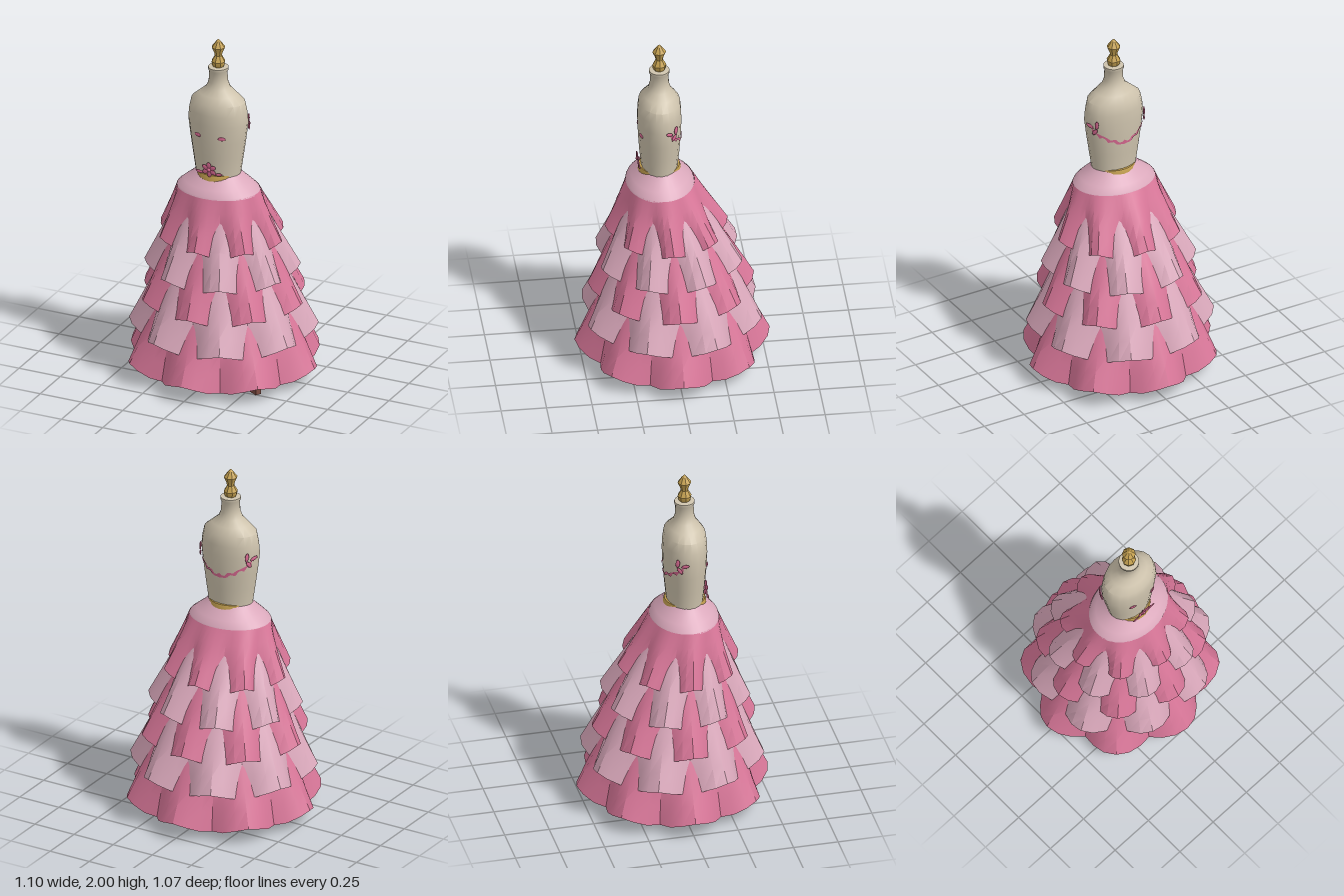
import * as THREE from 'three';
import { toCreasedNormals } from 'three/addons/utils/BufferGeometryUtils.js';

const mat = (name, color, side = THREE.FrontSide) => {
  const m = new THREE.MeshStandardMaterial({ color, side });
  m.name = name;
  return m;
};

// Surface from closed rings, listed bottom to top; point(row, angle) gives [x, y, z], angle 0 faces +z
function loft(rows, segs, point, crease = 0.5) {
  const pos = [], idx = [];
  for (let j = 0; j < rows; j++)
    for (let i = 0; i < segs; i++) pos.push(...point(j, (i / segs) * Math.PI * 2));
  for (let j = 0; j < rows - 1; j++)
    for (let i = 0; i < segs; i++) {
      const n = (i + 1) % segs;
      const a = j * segs + i, b = j * segs + n, c = b + segs, d = a + segs;
      idx.push(a, b, c, a, c, d);
    }
  const g = new THREE.BufferGeometry();
  g.setAttribute('position', new THREE.Float32BufferAttribute(pos, 3));
  g.setIndex(idx);
  return toCreasedNormals(g, crease);
}

// Elliptical loft from [y, rx, rz] sections
const ellipses = (sections, segs, zc, crease) =>
  loft(sections.length, segs, (j, a) => {
    const [y, rx, rz] = sections[j];
    return [rx * Math.sin(a), y, zc + rz * Math.cos(a)];
  }, crease);

const TORSO_Z = 0.07;
const TORSO = [
  [1.17, 0.127, 0.099], [1.22, 0.13, 0.1], [1.32, 0.145, 0.11], [1.42, 0.16, 0.117], [1.52, 0.173, 0.121],
  [1.58, 0.167, 0.12], [1.64, 0.154, 0.113], [1.68, 0.108, 0.087], [1.715, 0.068, 0.063],
  [1.75, 0.054, 0.053], [1.81, 0.05, 0.05], [1.82, 0.056, 0.056], [1.835, 0.056, 0.056], [1.84, 0.001, 0.001],
];

// Point on the torso at a height and angle, pushed out a little
function onTorso(y, a, out) {
  const k = Math.max(1, TORSO.findIndex((s) => s[0] >= y));
  const [p, q] = [TORSO[k - 1], TORSO[k]], t = (y - p[0]) / (q[0] - p[0]);
  const rx = p[1] + (q[1] - p[1]) * t + out, rz = p[2] + (q[2] - p[2]) * t + out;
  return new THREE.Vector3(rx * Math.sin(a), y, TORSO_Z + rz * Math.cos(a));
}

// The skirt leans forward and flattens towards the waist
const rise = (y) => Math.max(0, (y - 0.15) / 0.97);
const skirtZ = (y) => 0.065 * rise(y) ** 2;
const skirtRatio = (y) => 0.975 - 0.185 * rise(y) ** 4;

// Ruffled tier with eight folds
function tierGeometry({ peakY, r, topY, topR, shift }) {
  const rows = 5;
  return loft(rows, 48, (j, a) => {
    const t = j / (rows - 1);
    const w = Math.max(0, 0.5 + 0.5 * Math.cos(8 * (a - shift))) ** 0.6;
    const hemY = peakY - 0.05 * (1 - w * w);
    const y = hemY + (topY - hemY) * t;
    const rad = r + (topR - r) * t - 0.09 * (1 - w) * (1 - t) ** 1.2;
    return [rad * Math.sin(a), y, skirtZ(y) + rad * skirtRatio(y) * Math.cos(a)];
  });
}

export function createModel() {
  const model = new THREE.Group();
  model.name = 'dressForm';
  const linen = mat('linen', 0xcfc4ae);
  const rose = mat('rose', 0xd97799, THREE.DoubleSide);
  const blush = mat('blush', 0xdba9bc, THREE.DoubleSide);
  const gold = mat('gold', 0xc4a050);
  const wood = mat('wood', 0x7c4a40);
  const flowerPink = mat('flowerPink', 0xd5688f, THREE.DoubleSide);

  const add = (name, geo, material, parent = model) => {
    const m = new THREE.Mesh(geo, material);
    m.name = name;
    parent.add(m);
    return m;
  };

  // Body and finial
  add('torso', ellipses(TORSO, 20, TORSO_Z, 0.7), linen);
  const finial = [[0.03, 1.838], [0.036, 1.85], [0.039, 1.868], [0.02, 1.902], [0.024, 1.92], [0.038, 1.952], [0.014, 1.985], [0, 2]]
    .map(([x, y]) => new THREE.Vector2(x, y));
  add('finial', toCreasedNormals(new THREE.LatheGeometry(finial, 8), 0.6), gold).position.z = TORSO_Z;

  // Belt, showing only at the front and back
  add('belt', ellipses([[1.17, 0.12, 0.119], [1.205, 0.119, 0.118], [1.225, 0.119, 0.111], [1.228, 0.1, 0.09]], 24, TORSO_Z), gold);

  // Skirt yoke, lining and tiers
  add('yoke', ellipses([[1.115, 0.238, 0.188], [1.125, 0.232, 0.184], [1.155, 0.196, 0.158], [1.19, 0.152, 0.124], [1.218, 0.127, 0.1]], 32, 0.067), blush);
  const lining = [[0.12, 0.385], [0.55, 0.3], [0.8, 0.25], [1.11, 0.215]];
  add('lining', loft(4, 32, (j, a) => {
    const [y, r] = lining[j];
    return [r * Math.sin(a), y, skirtZ(y) + r * skirtRatio(y) * Math.cos(a)];
  }), blush);
  const tiers = [[0.84, 0.365, 1.12, 0.236], [0.65, 0.43, 1.03, 0.235], [0.47, 0.47, 0.85, 0.28], [0.29, 0.52, 0.67, 0.325], [0.1, 0.55, 0.48, 0.36]];
  tiers.forEach(([peakY, r, topY, topR], i) => {
    const shift = i % 2 ? Math.PI / 8 : 0;
    add(`skirtTier${i + 1}`, tierGeometry({ peakY, r, topY, topR, shift }), i % 2 ? blush : rose);
  });

  // Stand: pole and three legs
  const stand = new THREE.Group();
  stand.name = 'stand';
  stand.position.z = TORSO_Z;
  model.add(stand);
  add('pole', new THREE.CylinderGeometry(0.018, 0.02, 1.2, 8).translate(0, 0.6, 0), wood, stand);
  for (let i = 0; i < 3; i++) {
    const leg = add('leg', new THREE.BoxGeometry(0.036, 0.035, 0.39).translate(0, 0.031, 0.195), wood, stand);
    leg.rotation.y = Math.PI + (i * Math.PI * 2) / 3;
  }

  // Flowers and leaves
  const petalGeo = new THREE.SphereGeometry(1, 8, 6);
  const petal = (name, parent, x, y, angle, length, width) => {
    const p = add(name, petalGeo, flowerPink, parent);
    p.scale.set(length, width, 0.005);
    p.position.set(x, y, 0);
    p.rotation.z = angle;
  };
  const spray = (name, pos, turn, tilt = 0) => {
    const g = new THREE.Group();
    g.name = name;
    g.position.copy(pos);
    g.rotation.set(tilt, turn, 0, 'YXZ');
    model.add(g);
    return g;
  };
  const waist = spray('waistFlower', onTorso(1.262, 0, 0.014), 0, 0.1);
  for (let i = 0; i < 6; i++) {
    const a = (i / 6) * Math.PI * 2 + Math.PI / 6;
    petal('petal', waist, 0.026 * Math.cos(a), 0.026 * Math.sin(a), a, 0.02, 0.014);
  }
  add('flowerCentre', petalGeo, flowerPink, waist).scale.set(0.012, 0.012, 0.012);
  for (const s of [-1, 1]) {
    petal('flowerLeaf', waist, s * 0.058, -0.02, s * 0.2, 0.024, 0.009);

    const chest = spray('chestPetal', onTorso(1.455, s * 0.45, 0.002), s * 0.32);
    petal('petal', chest, 0, 0, 0, 0.022, 0.011);

    const a = s * (Math.PI - 1.05);
    const side = spray('backSpray', onTorso(1.5, a, 0.008), a);
    petal('leaf', side, s * -0.032, 0.015, s * -0.4, 0.024, 0.011);
    petal('leaf', side, s * 0.012, 0.028, 1.45, 0.026, 0.012);
    petal('leaf', side, 0, -0.016, s * 0.9, 0.024, 0.011);
  }

  // Garland draped across the back
  const pos = [], idx = [], n = 24;
  for (let i = 0; i <= n; i++) {
    const u = (i / n) * 2 - 1, a = Math.PI + u * 1.2;
    const y = 1.4 + 0.09 * Math.abs(u) ** 1.4 + 0.006 * Math.sin(i * 1.7);
    const h = 0.009 + 0.005 * Math.cos(i * 2.1);
    pos.push(...onTorso(y - h, a, 0.004).toArray(), ...onTorso(y + h, a, 0.004).toArray());
    if (i < n) idx.push(2 * i, 2 * i + 2, 2 * i + 3, 2 * i, 2 * i + 3, 2 * i + 1);
  }
  const garland = new THREE.BufferGeometry();
  garland.setAttribute('position', new THREE.Float32BufferAttribute(pos, 3));
  garland.setIndex(idx);
  garland.computeVertexNormals();
  add('backGarland', garland, flowerPink);

  return model;
}
